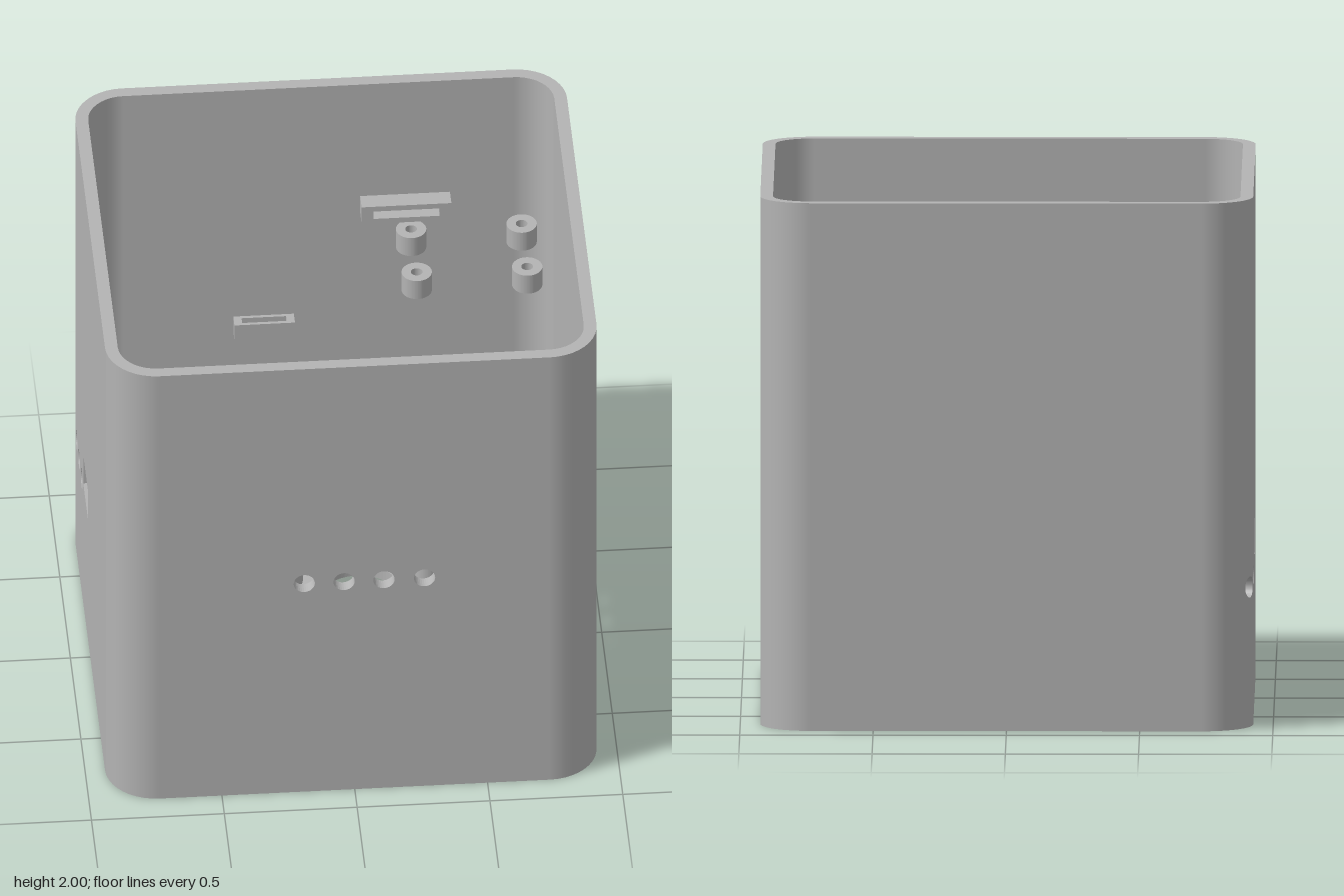
import * as THREE from 'three';

const W = 0.925, D = 0.888, H = 2, R = 0.19, T = 0.048, FLOOR = 0.05;
const A = W - R, B = D - R, Q = Math.PI * R / 2;

// Four sides and four rounded corners, walked anticlockwise from the front
const SIDES = [
  { len: 2 * A, x: -A, z: D, dx: 1, dz: 0, ang: 0 },
  { len: 2 * B, x: W, z: B, dx: 0, dz: -1, ang: Math.PI / 2 },
  { len: 2 * A, x: A, z: -D, dx: -1, dz: 0, ang: Math.PI },
  { len: 2 * B, x: -W, z: -B, dx: 0, dz: 1, ang: Math.PI * 1.5 },
];
const START = [0, 2 * A + Q, 2 * A + 2 * B + 2 * Q, 4 * A + 2 * B + 3 * Q];
const TOTAL = 4 * A + 4 * B + 4 * Q;

// Outer wall point and outward direction at distance s round the outline
function at(s) {
  let k = 3;
  while (k > 0 && s < START[k] - 1e-9) k--;
  const e = SIDES[k], d = s - START[k];
  const along = Math.min(d, e.len);
  const ang = e.ang + Math.max(0, d - e.len) / R;
  const nx = Math.sin(ang), nz = Math.cos(ang);
  const n0x = Math.sin(e.ang), n0z = Math.cos(e.ang);
  return {
    x: e.x + e.dx * along + R * (nx - n0x),
    z: e.z + e.dz * along + R * (nz - n0z), nx, nz,
  };
}

function wallGeometry(holes) {
  const pos = [], nor = [];
  const quad = (pts, ns) => [0, 1, 2, 0, 2, 3].forEach(i => {
    pos.push(...pts[i]);
    nor.push(...ns[i]);
  });
  const flat = (pts, n) => quad(pts, [n, n, n, n]);
  const O = (p, y) => [p.x, y, p.z];
  const I = (p, y) => [p.x - T * p.nx, y, p.z - T * p.nz];
  // Break points: corner facets and hole outlines
  const cuts = [0, TOTAL];
  SIDES.forEach((e, k) => {
    for (let i = 0; i <= 10; i++) cuts.push(START[k] + e.len + Q * i / 10);
  });
  holes.forEach(h => {
    for (let i = 0; i <= 16; i++) cuts.push(h.s - h.w * Math.cos(Math.PI * i / 16));
  });
  cuts.sort((a, b) => a - b);
  const half = (h, s) => h.round ? Math.sqrt(Math.max(0, h.w ** 2 - (s - h.s) ** 2)) : h.h;

  for (let i = 0; i + 1 < cuts.length; i++) {
    const s0 = cuts[i], s1 = cuts[i + 1];
    if (s1 - s0 < 1e-6) continue;
    const p = at(s0), q = at(s1), m = (s0 + s1) / 2;
    const n0 = [p.nx, 0, p.nz], n1 = [q.nx, 0, q.nz];
    const i0 = n0.map(v => -v), i1 = n1.map(v => -v);
    const panel = (a0, a1, b0, b1) => {
      quad([O(p, a0), O(q, a1), O(q, b1), O(p, b0)], [n0, n1, n1, n0]);
      quad([I(q, a1), I(p, a0), I(p, b0), I(q, b1)], [i1, i0, i0, i1]);
    };
    const up = (a, b, n) => flat([O(p, a), O(q, b), I(q, b), I(p, a)], n);
    const down = (a, b, n) => flat([I(p, a), I(q, b), O(q, b), O(p, a)], n);
    up(H, H, [0, 1, 0]);
    down(0, 0, [0, -1, 0]);
    const h = holes.find(o => Math.abs(m - o.s) < o.w);
    if (!h) { panel(0, 0, H, H); continue; }
    const a = half(h, s0), b = half(h, s1);
    panel(0, 0, h.y - a, h.y - b);
    panel(h.y + a, h.y + b, H, H);
    // Faces inside the hole point to its centre
    const c = h.round ? (m - h.s) / h.w : 0, v = Math.sqrt(1 - c * c);
    const tx = p.nz * -c, tz = p.nx * c;
    up(h.y - a, h.y - b, [tx, v, tz]);
    down(h.y + a, h.y + b, [tx, -v, tz]);
    if (!h.round) {
      const y0 = h.y - h.h, y1 = h.y + h.h;
      if (Math.abs(s0 - h.s + h.w) < 1e-6)
        flat([O(p, y0), I(p, y0), I(p, y1), O(p, y1)], [p.nz, 0, -p.nx]);
      if (Math.abs(s1 - h.s - h.w) < 1e-6)
        flat([I(q, y0), O(q, y0), O(q, y1), I(q, y1)], [-q.nz, 0, q.nx]);
    }
  }
  const g = new THREE.BufferGeometry();
  g.setAttribute('position', new THREE.Float32BufferAttribute(pos, 3));
  g.setAttribute('normal', new THREE.Float32BufferAttribute(nor, 3));
  return g;
}

const disc = (S, x, z, r) => new S().absarc(x, -z, r, 0, Math.PI * 2, S === THREE.Path);
function rect(S, w, h) {
  return new S().moveTo(-w / 2, -h / 2).lineTo(w / 2, -h / 2)
    .lineTo(w / 2, h / 2).lineTo(-w / 2, h / 2).closePath();
}
// Extrudes a plan shape upward
const rise = (shape, depth) => new THREE.ExtrudeGeometry(shape,
  { depth, bevelEnabled: false, curveSegments: 32 }).rotateX(-Math.PI / 2);

export function createModel() {
  const model = new THREE.Group();
  const grey = new THREE.MeshStandardMaterial({ color: 0xb3b3b3 });
  grey.name = 'grey plastic';
  const add = (name, geo, x = 0, y = 0, z = 0) => {
    const mesh = new THREE.Mesh(geo, grey);
    mesh.name = name;
    mesh.position.set(x, y, z);
    model.add(mesh);
  };

  // Wall with vent holes and a cable window
  const round = (s, y) => ({ s, y, w: 0.04, round: true });
  add('walls', wallGeometry([
    ...[-0.19, -0.04, 0.11, 0.263].map(x => round(x + A, 0.985)),
    ...[0.115, -0.017, -0.15].map(z => round(START[1] + B - z, 0.155)),
    ...[-0.765, -0.645, -0.53, -0.41].map(z => round(START[3] + B + z, 0.53)),
    { s: START[3] + B - 0.22, y: 0.635, w: 0.113, h: 0.068, round: false },
  ]));

  // Floor with two large openings and a cable opening
  const plan = new THREE.Shape();
  const r = R - T;
  plan.absarc(A, B, r, 0, Math.PI / 2);
  plan.absarc(-A, B, r, Math.PI / 2, Math.PI);
  plan.absarc(-A, -B, r, Math.PI, Math.PI * 1.5);
  plan.absarc(A, -B, r, Math.PI * 1.5, Math.PI * 2);
  for (const [x, z, rad] of [[0.11, -0.267, 0.153], [0.11, 0.15, 0.153], [0.525, 0.565, 0.077]])
    plan.holes.push(disc(THREE.Path, x, z, rad));
  add('floor', rise(plan, FLOOR));

  // Hollow round posts
  const ring = (outer, inner, h) => {
    const s = disc(THREE.Shape, 0, 0, outer);
    s.holes.push(disc(THREE.Path, 0, 0, inner));
    return rise(s, h);
  };
  add('cableCollar', ring(0.133, 0.077, 0.05), 0.525, FLOOR, 0.565);
  const postSets = [
    ['floorPost', -0.155, 0.375, -0.345, 0.187, 0.05, 0.057],
    ['leftLowPost', -0.757, -0.305, -0.305, 0.073, 0.45, 0.057],
    ['leftSmallPost', -0.757, -0.42, -0.533, -0.23, 0.57, 0.047],
    ['leftUpperPost', -0.757, -0.495, -0.08, 0.15, 0.75, 0.057],
    ['frontSmallPost', -0.305, 0.15, 0.452, 0.753, 1.03, 0.047],
    ['frontRightPost', 0.337, 0.753, 0.413, 0.753, 1.03, 0.057],
    ['backRightPost', 0.337, 0.753, -0.685, -0.42, 1.34, 0.057],
  ];
  for (const [name, x0, x1, z0, z1, y, rad] of postSets)
    for (const x of [x0, x1]) for (const z of [z0, z1])
      add(name, ring(rad, 0.022, 0.085), x, y, z);

  // Slotted holders
  const holder = (name, x, y, z, w, d) => {
    const s = rect(THREE.Shape, w, d);
    s.holes.push(rect(THREE.Path, w - 0.06, d - 0.026));
    add(name, rise(s, 0.07), x, y, z);
  };
  holder('leftBackHolder', -0.779, 0.48, -0.487, 0.19, 0.057);
  holder('leftHolder', -0.779, 0.48, -0.185, 0.19, 0.057);
  holder('middleHolder', -0.268, 1.463, -0.033, 0.228, 0.055);
  holder('frontHolder', 0.43, 0.6, 0.646, 0.19, 0.06);

  // Crossbars and the open-fronted frame
  add('frontBar', new THREE.BoxGeometry(1.135, 0.07, 0.04), 0, 1.245, 0.732);
  add('leftBar', new THREE.BoxGeometry(0.3, 0.07, 0.075), -0.682, 0.92, -0.117);
  add('rightBar', new THREE.BoxGeometry(0.23, 0.07, 0.072), 0.677, 1.2, 0.34);
  const frame = rect(THREE.Shape, 0.338, 0.08);
  frame.holes.push(rect(THREE.Path, 0.25, 0.035));
  add('backFrame', new THREE.ExtrudeGeometry(frame, { depth: 0.07, bevelEnabled: false }), 0.317, 1.525, -0.72);
  return model;
}
